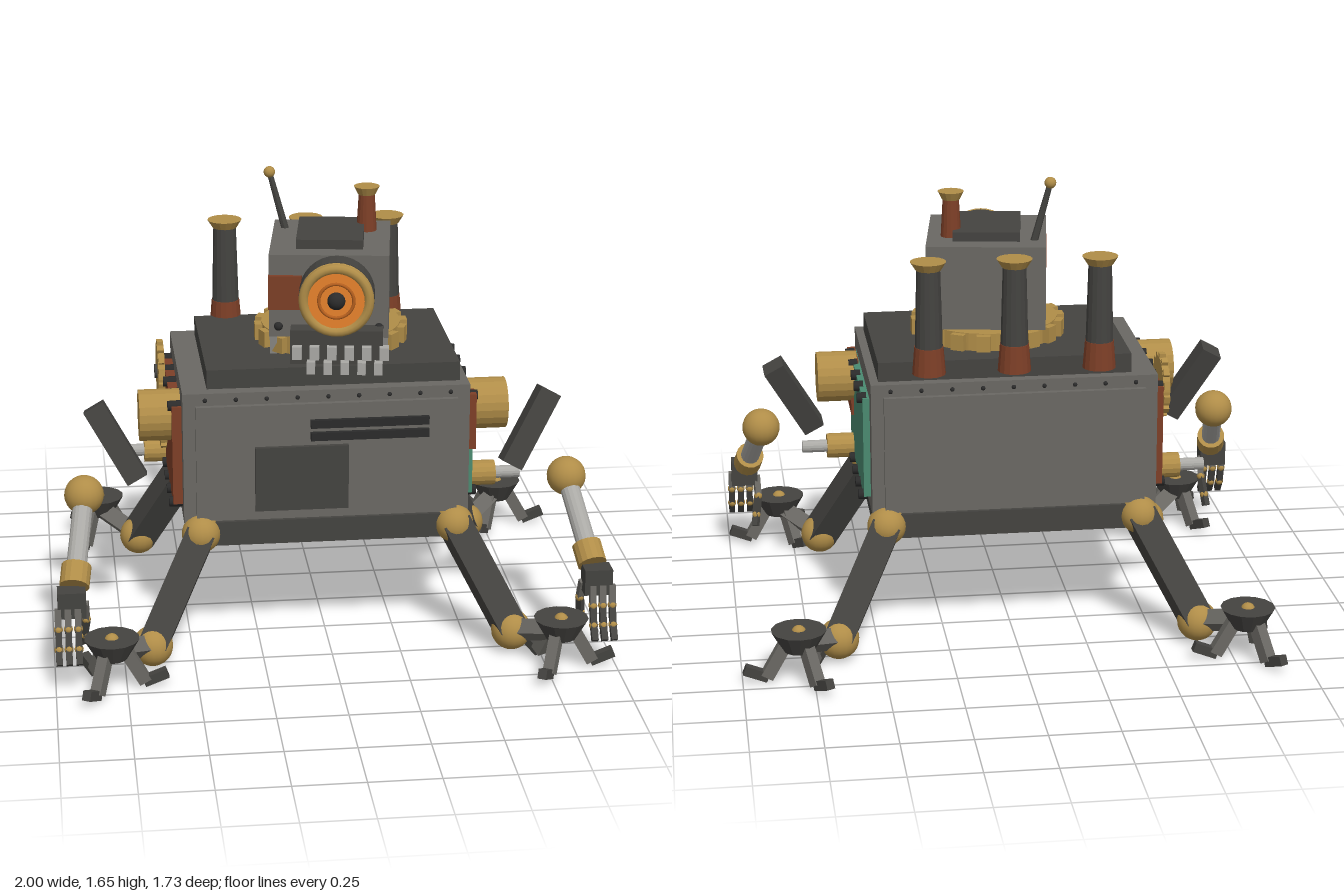
import * as THREE from 'three';

const mat = (color, flatShading = false) => new THREE.MeshStandardMaterial({ color, flatShading });
const GREY = mat(0x6a6863, true), DARK = mat(0x444340, true), BLACK = mat(0x2b2b2b);
const GOLD = mat(0xb08d48), BRASS = mat(0xb08d48, true), RUST = mat(0x7d3f27, true);
const TEAL = mat(0x4a8a70), ORANGE = mat(0xe8822c), STEEL = mat(0xaaa9a5, true);
const V = (x, y, z) => new THREE.Vector3(x, y, z);

function add(parent, name, geo, material, x = 0, y = 0, z = 0) {
  const m = new THREE.Mesh(geo, material);
  m.name = name;
  m.position.set(x, y, z);
  parent.add(m);
  return m;
}
const group = (parent, name) => {
  const g = new THREE.Group();
  g.name = name;
  parent.add(g);
  return g;
};
const box = (p, name, material, w, h, d, x, y, z) => add(p, name, new THREE.BoxGeometry(w, h, d), material, x, y, z);
const ball = (p, name, material, r, x, y, z) => add(p, name, new THREE.SphereGeometry(r, 20, 14), material, x, y, z);

// Point a part's y axis from a to b
function aim(m, a, b) {
  m.position.copy(a).lerp(b, 0.5);
  m.quaternion.setFromUnitVectors(V(0, 1, 0), b.clone().sub(a).normalize());
  return m;
}
const beam = (p, name, material, a, b, w, d = w) =>
  aim(add(p, name, new THREE.BoxGeometry(w, a.distanceTo(b), d), material), a, b);
const rod = (p, name, material, a, b, r0, r1 = r0, n = 16) =>
  aim(add(p, name, new THREE.CylinderGeometry(r1, r0, a.distanceTo(b), n), material), a, b);

// Flat gear with square teeth, lying in the xz plane
function gear(parent, name, r, h, teeth, size) {
  const g = group(parent, name);
  add(g, name + 'Disc', new THREE.CylinderGeometry(r, r, h, 32), BRASS);
  for (let i = 0; i < teeth; i++) {
    const a = (i / teeth) * Math.PI * 2;
    box(g, name + 'Tooth', BRASS, size, h * 0.9, size, Math.cos(a) * r, 0, Math.sin(a) * r).rotation.y = -a;
  }
  return g;
}

function buildBody(root) {
  const g = group(root, 'body');
  box(g, 'hull', GREY, 1.03, 0.49, 0.73, -0.005, 0.735, 0);
  box(g, 'chassis', DARK, 1.0, 0.09, 0.76, 0, 0.45, 0);
  box(g, 'deck', DARK, 0.91, 0.07, 0.64, 0.025, 1.015, -0.005);
  for (const s of [1, -1]) {
    box(g, 'hullPlate', GREY, 0.94, 0.43, 0.02, -0.005, 0.72, s * 0.375);
    for (let i = -4; i <= 4; i++) ball(g, 'plateRivet', BLACK, 0.008, i * 0.11, 0.955, s * 0.366);
  }
  box(g, 'hatch', DARK, 0.335, 0.24, 0.02, -0.098, 0.66, 0.392);
  for (const y of [0.862, 0.815]) box(g, 'vent', BLACK, 0.425, 0.03, 0.02, 0.147, y, 0.392);

  // Side panels with bolts
  box(g, 'leftPanel', TEAL, 0.025, 0.37, 0.6, 0.522, 0.725, 0);
  box(g, 'leftPatch', RUST, 0.03, 0.21, 0.18, 0.53, 0.815, 0.215);
  box(g, 'rightPanel', RUST, 0.035, 0.37, 0.6, -0.537, 0.725, 0);
  for (const s of [1, -1]) for (const y of [0.54, 0.906]) for (let i = -2; i <= 2; i++)
    rod(g, 'bolt', BLACK, V(s * 0.52, y, i * 0.134), V(s * (s > 0 ? 0.553 : 0.568), y, i * 0.134), 0.02, 0.018, 10);

  // Shoulder drums and side axles
  for (const s of [1, -1]) {
    rod(g, 'shoulderDrum', BRASS, V(s * 0.52, 0.845, 0.185), V(s * 0.668, 0.845, 0.185), 0.093, 0.093, 20);
    const z = s > 0 ? 0.185 : -0.19;
    rod(g, 'axleSocket', BRASS, V(s * 0.52, 0.572, z), V(s * 0.635, 0.572, z), 0.046);
    rod(g, 'axle', STEEL, V(s * 0.6, 0.572, z), V(s * 0.728, 0.572, z), 0.023);
  }

  // Gear train
  for (const [r, y, z, n] of [[0.105, 0.885, -0.185, 14], [0.06, 0.7, -0.07, 10]]) {
    const w = gear(g, 'sideGear', r, 0.025, n, 0.026);
    w.position.set(-0.568, y, z);
    w.rotation.z = Math.PI / 2;
    rod(g, 'gearHub', DARK, V(-0.56, y, z), V(-0.59, y, z), r * 0.25);
  }

  // Rear chimneys
  for (const x of [-0.31, -0.005, 0.3]) {
    const z = -0.34;
    rod(g, 'chimneyBase', RUST, V(x, 1.01, z), V(x, 1.11, z), 0.06, 0.052);
    rod(g, 'chimneyPipe', DARK, V(x, 1.1, z), V(x, 1.4, z), 0.05, 0.042);
    rod(g, 'chimneyCap', BRASS, V(x, 1.39, z), V(x, 1.42, z), 0.045, 0.064);
  }
}

function buildHead(root) {
  const ring = gear(root, 'neckRing', 0.255, 0.065, 18, 0.05);
  ring.position.set(0.05, 1.09, -0.005);

  const h = group(root, 'head');
  h.position.set(0.05, 0, -0.002);
  h.rotation.y = -0.145;
  box(h, 'skull', GREY, 0.428, 0.305, 0.465, 0, 1.283, 0);
  box(h, 'crown', DARK, 0.24, 0.035, 0.31, 0, 1.452, 0);
  box(h, 'cheekPatch', RUST, 0.12, 0.125, 0.02, -0.156, 1.298, 0.238);
  for (const s of [1, -1]) {
    ball(h, 'skullBolt', BLACK, 0.016, s * 0.18, 1.17, 0.233);
    beam(h, 'jawStrut', STEEL, V(s * 0.2, 1.05, 0.17), V(s * 0.2, 1.16, 0.22), 0.025);
  }

  // Eye: housing, brass rim, glowing lens and pupil
  const eye = group(h, 'eye');
  eye.position.set(0.03, 1.3, 0.23);
  const disc = (name, m, r, z0, z1, r1 = r) => rod(eye, name, m, V(0, 0, z0), V(0, 0, z1), r, r1, 32);
  disc('eyeHousing', DARK, 0.135, -0.02, 0.085);
  disc('eyeRim', GOLD, 0.135, 0.08, 0.105, 0.122);
  add(eye, 'eyeOuterRing', new THREE.TorusGeometry(0.116, 0.018, 10, 36), GOLD, 0, 0, 0.105);
  disc('lens', ORANGE, 0.105, 0.09, 0.112);
  add(eye, 'lensRing', new THREE.TorusGeometry(0.062, 0.006, 8, 32), mat(0xb55f1e), 0, 0, 0.112);
  ball(eye, 'pupil', BLACK, 0.032, 0, 0, 0.112);

  // Jaw and two rows of teeth
  box(h, 'jaw', DARK, 0.33, 0.125, 0.1, 0.03, 1.115, 0.255);
  for (let i = 0; i < 6; i++) box(h, 'upperTooth', STEEL, 0.034, 0.048, 0.035, -0.11 + i * 0.062, 1.1, 0.315);
  for (let i = 0; i < 5; i++) box(h, 'lowerTooth', STEEL, 0.03, 0.045, 0.035, -0.06 + i * 0.06, 1.048, 0.325);

  // Head chimney and antenna
  const cx = 0.128, cz = -0.09;
  rod(h, 'headPipe', RUST, V(cx, 1.44, cz), V(cx, 1.58, cz), 0.037, 0.029);
  rod(h, 'headPipeCap', BRASS, V(cx, 1.575, cz), V(cx, 1.605, cz), 0.032, 0.047);
  const tip = V(-0.228, 1.645, -0.125);
  rod(h, 'antenna', DARK, V(-0.168, 1.42, -0.125), tip, 0.014, 0.01, 8);
  ball(h, 'antennaTip', GOLD, 0.021, tip.x, tip.y, tip.z);
}

function buildLeg(root, sx, sz) {
  const g = group(root, 'leg');
  const hip = V(sx * 0.46, 0.45, sz * 0.365), ankle = V(sx * 0.65, 0.09, sz * 0.525);
  ball(g, 'hip', GOLD, 0.07, ...hip);
  beam(g, 'shin', DARK, hip, ankle, 0.105);
  ball(g, 'ankle', GOLD, 0.073, ...ankle);
  beam(g, 'footLink', GREY, ankle, V(sx * 0.8, 0.15, sz * 0.685), 0.06);

  // Foot dish with three jointed toes
  const f = group(g, 'foot');
  f.position.set(sx * 0.8, 0, sz * 0.685);
  rod(f, 'footDish', DARK, V(0, 0.125, 0), V(0, 0.2, 0), 0.055, 0.098, 14);
  ball(f, 'footStud', GOLD, 0.026, 0, 0.19, 0);
  for (let i = 0; i < 3; i++) {
    const t = group(f, 'toe');
    t.rotation.y = (i * Math.PI * 2) / 3;
    beam(t, 'toeUpper', GREY, V(0.045, 0.155, 0), V(0.115, 0.03, 0), 0.045, 0.04);
    beam(t, 'toeTip', DARK, V(0.11, 0.028, 0), V(0.193, 0.06, 0), 0.035, 0.032);
  }
}

function buildArm(root, s) {
  const g = group(root, 'arm');
  const P = (x, y, z) => V(s * x, y, z);
  const elbow = P(0.875, 0.605, 0.335), wrist = P(0.92, 0.385, 0.585);
  beam(g, 'upperArm', DARK, P(0.68, 0.63, 0.262), P(0.83, 0.89, 0.2), 0.08);
  ball(g, 'elbow', GOLD, 0.071, ...elbow);
  rod(g, 'forearm', STEEL, elbow, wrist, 0.036);
  rod(g, 'wristCuff', BRASS, elbow.clone().lerp(wrist, 0.84), elbow.clone().lerp(wrist, 1.08), 0.053);
  box(g, 'palm', DARK, 0.1, 0.095, 0.075, s * 0.935, 0.322, 0.637);

  // Each finger is a chain of bars with ball joints
  const finger = (name, pts) => {
    for (let i = 0; i < pts.length - 1; i++) {
      beam(g, name, i ? DARK : GREY, pts[i], pts[i + 1], 0.023);
      if (i) ball(g, name + 'Joint', GOLD, 0.016, ...pts[i]);
    }
  };
  for (const x of [0.985, 0.95, 0.915])
    finger('finger', [P(x, 0.31, 0.665), P(x, 0.237, 0.677), P(x, 0.17, 0.7), P(x, 0.125, 0.735)]);
  finger('thumb', [P(0.888, 0.31, 0.62), P(0.885, 0.235, 0.59), P(0.895, 0.165, 0.565), P(0.9, 0.125, 0.545)]);
}

export function createModel() {
  const root = new THREE.Group();
  root.name = 'walkerRobot';
  buildBody(root);
  buildHead(root);
  for (const sx of [1, -1]) {
    for (const sz of [1, -1]) buildLeg(root, sx, sz);
    buildArm(root, sx);
  }
  return root;
}
